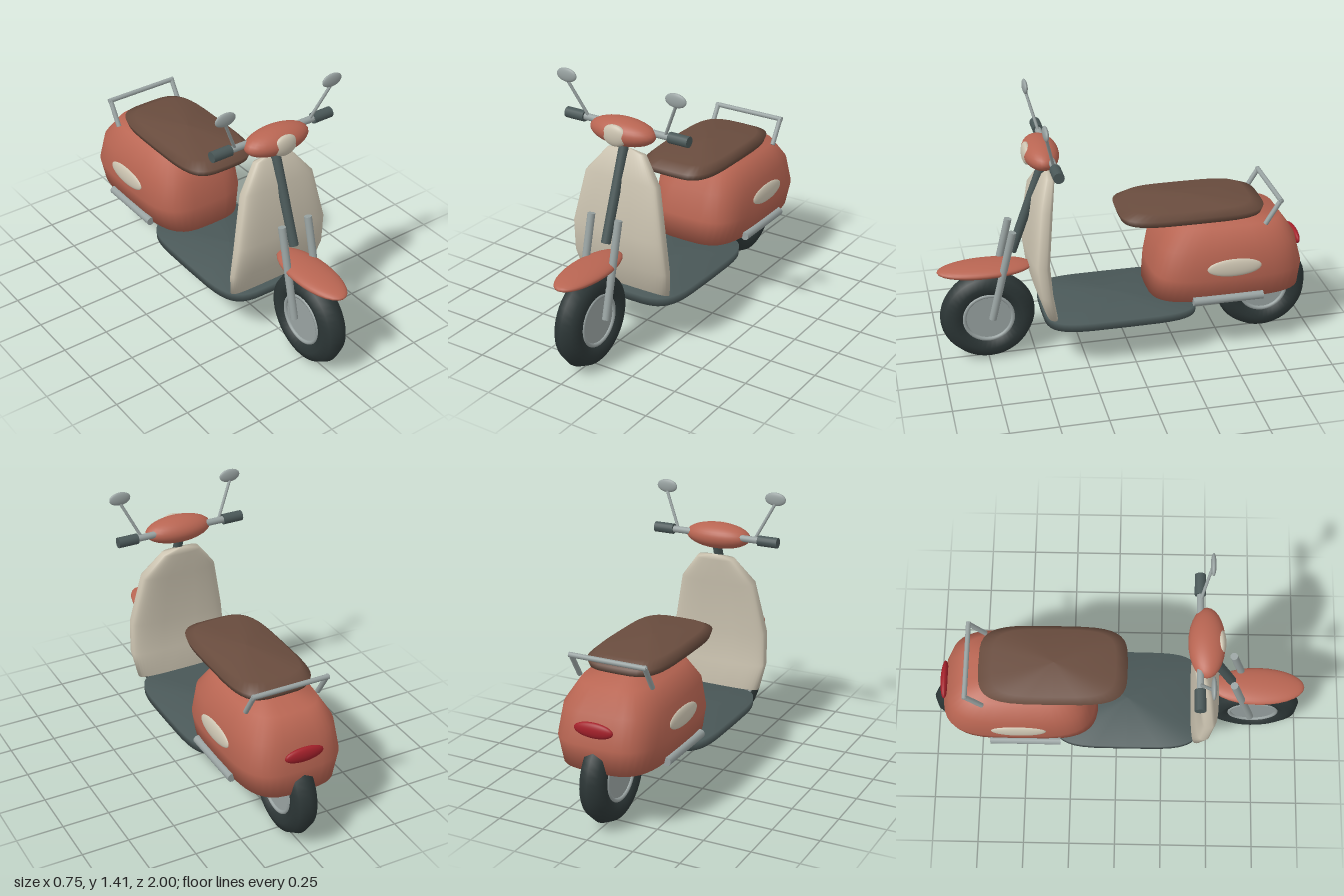
import * as THREE from 'three';

const mat = (name, color) => {
  const m = new THREE.MeshStandardMaterial({ color });
  m.name = name;
  return m;
};

export function createModel() {
  const paint = mat('coral paint', 0xb86552);
  const cream = mat('cream paint', 0xcbc3b0);
  const rubber = mat('tyre rubber', 0x2c3636);
  const slate = mat('slate trim', 0x4a5858);
  const chrome = mat('chrome', 0x98a2a1);
  const leather = mat('brown leather', 0x694c3e);
  const lamp = mat('red lens', 0xa3202a);

  const model = new THREE.Group();
  model.name = 'scooter';

  const add = (name, geometry, material, parent = model) => {
    const mesh = new THREE.Mesh(geometry, material);
    mesh.name = name;
    parent.add(mesh);
    return mesh;
  };

  // Smooth ellipsoid from a centre and three half sizes
  const ellipsoid = (name, material, [x, y, z], [rx, ry, rz]) => {
    const mesh = add(name, new THREE.SphereGeometry(1, 28, 18).scale(rx, ry, rz), material);
    mesh.position.set(x, y, z);
    return mesh;
  };

  // Straight round rod between two points
  const rod = (name, material, from, to, radius, sides = 16) => {
    const a = new THREE.Vector3(...from), b = new THREE.Vector3(...to);
    const dir = b.clone().sub(a);
    const mesh = add(name, new THREE.CylinderGeometry(radius, radius, dir.length(), sides), material);
    mesh.position.copy(a).add(b).multiplyScalar(0.5);
    mesh.quaternion.setFromUnitVectors(new THREE.Vector3(0, 1, 0), dir.normalize());
    return mesh;
  };

  // Stack of rounded-rectangle sections [y, z, halfX, halfZ]; tilt raises the front of each
  const loft = (name, material, sections, power, tilt = 0) => {
    const n = 40, pos = [], index = [];
    const round = (v) => Math.sign(v) * Math.abs(v) ** (2 / power);
    for (const [y, z, hx, hz] of sections) {
      for (let i = 0; i < n; i++) {
        const a = (i / n) * Math.PI * 2;
        const dz = hz * round(Math.sin(a));
        pos.push(hx * round(Math.cos(a)), y + dz * tilt, z + dz);
      }
    }
    for (let j = 0; j < sections.length - 1; j++) {
      for (let i = 0; i < n; i++) {
        const k = (i + 1) % n;
        const a = j * n + i, b = j * n + k, c = a + n, d = b + n;
        if (sections[j][2] > 0) index.push(a, c, b);
        if (sections[j + 1][2] > 0) index.push(b, c, d);
      }
    }
    const g = new THREE.BufferGeometry();
    g.setAttribute('position', new THREE.Float32BufferAttribute(pos, 3));
    g.setIndex(index);
    g.computeVertexNormals();
    return add(name, g, material);
  };

  // Wheels: tyre, hub and a rim ring on each side
  for (const [name, z] of [['frontWheel', 0.745], ['rearWheel', -0.748]]) {
    const wheel = new THREE.Group();
    wheel.name = name;
    wheel.position.set(0, 0.25, z);
    wheel.rotation.y = Math.PI / 2;
    model.add(wheel);
    add('tyre', new THREE.TorusGeometry(0.18, 0.07, 8, 40), rubber, wheel);
    add('hub', new THREE.CylinderGeometry(0.122, 0.122, 0.096, 32).rotateX(Math.PI / 2), chrome, wheel);
    for (const s of [-1, 1]) {
      add('rimRing', new THREE.TorusGeometry(0.128, 0.011, 8, 36), chrome, wheel).position.z = s * 0.048;
    }
  }

  // Main body shells
  loft('rearBody', paint, [
    [0.28, -0.51, 0, 0], [0.325, -0.51, 0.255, 0.41], [0.455, -0.52, 0.284, 0.408],
    [0.605, -0.513, 0.264, 0.376], [0.717, -0.512, 0.195, 0.298], [0.745, -0.512, 0, 0],
  ], 3.6);
  loft('seat', leather, [
    [0.735, -0.33, 0, 0], [0.755, -0.33, 0.205, 0.375], [0.79, -0.33, 0.217, 0.386],
    [0.82, -0.325, 0.185, 0.32], [0.836, -0.325, 0, 0],
  ], 4);
  loft('floorboard', slate, [
    [0.215, 0.057, 0, 0], [0.232, 0.057, 0.272, 0.407],
    [0.277, 0.057, 0.274, 0.408], [0.298, 0.057, 0, 0],
  ], 4.5);
  loft('legShield', cream, [
    [0.295, 0.435, 0, 0], [0.308, 0.435, 0.258, 0.033], [0.445, 0.468, 0.281, 0.045],
    [0.62, 0.485, 0.271, 0.051], [0.9, 0.452, 0.213, 0.046],
    [1.032, 0.412, 0.108, 0.03], [1.05, 0.408, 0, 0],
  ], 3.5, 0.25);

  // Front end
  ellipsoid('frontFender', paint, [0, 0.519, 0.75], [0.104, 0.036, 0.248]);
  rod('steeringColumn', slate, [0, 0.605, 0.605], [0, 1.13, 0.415], 0.025);
  ellipsoid('handlebarShell', paint, [0, 1.147, 0.443], [0.185, 0.069, 0.092]);
  ellipsoid('headlight', cream, [0, 1.146, 0.513], [0.071, 0.056, 0.026]);
  rod('handlebar', chrome, [-0.26, 1.157, 0.41], [0.26, 1.157, 0.41], 0.018);

  // Rear lamp and grab rail
  ellipsoid('tailLight', lamp, [0, 0.542, -0.917], [0.106, 0.04, 0.022]);
  rod('grabRailBar', chrome, [-0.21, 0.841, -0.773], [0.21, 0.841, -0.773], 0.013);

  // Mirrored parts
  for (const s of [-1, 1]) {
    rod('forkLeg', chrome, [s * 0.081, 0.258, 0.728], [s * 0.081, 0.75, 0.608], 0.02);
    rod('grip', slate, [s * 0.25, 1.157, 0.41], [s * 0.36, 1.157, 0.41], 0.028);
    rod('mirrorStem', chrome, [s * 0.23, 1.17, 0.415], [s * 0.317, 1.35, 0.46], 0.008, 10);
    ellipsoid('mirror', chrome, [s * 0.318, 1.377, 0.463], [0.059, 0.036, 0.014]);
    rod('grabRailLeg', chrome, [s * 0.2, 0.715, -0.695], [s * 0.2, 0.846, -0.775], 0.013);
    rod('sideTrimBar', chrome, [s * 0.263, 0.334, -0.3], [s * 0.263, 0.334, -0.677], 0.023);
    const panel = ellipsoid('sidePanel', cream, [s * 0.273, 0.518, -0.515], [0.016, 0.048, 0.146]);
    panel.rotation.z = s * 0.13;
  }
  return model;
}
